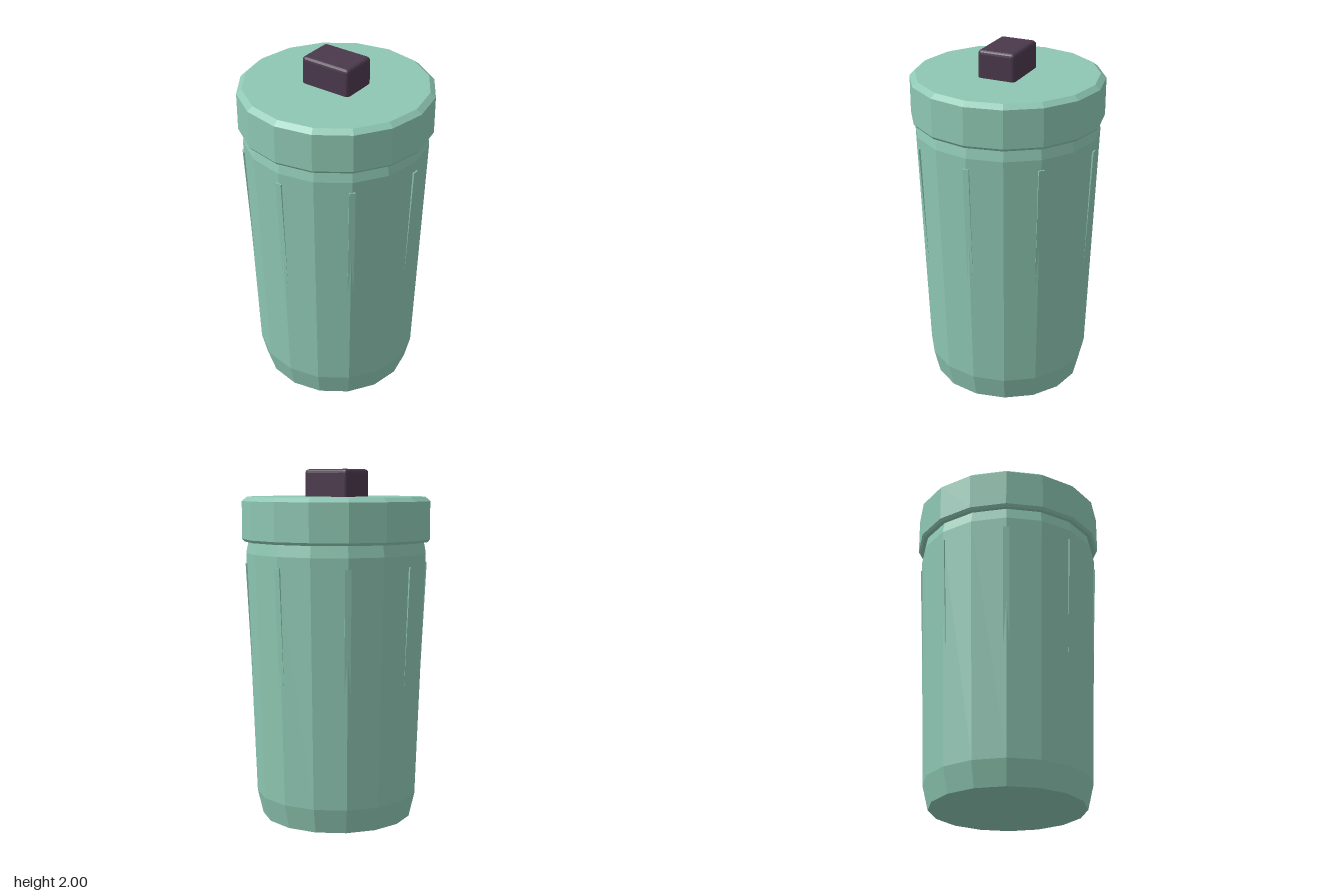
import * as THREE from 'three';
import { RoundedBoxGeometry } from 'three/addons/geometries/RoundedBoxGeometry.js';

const SIDES = 16;

export function createModel() {
  const green = new THREE.MeshStandardMaterial({ color: 0x8ec7b3, flatShading: true });
  green.name = 'sage green';
  const plum = new THREE.MeshStandardMaterial({ color: 0x4a384c, flatShading: true });
  plum.name = 'dark plum';

  const model = new THREE.Group();
  model.name = 'trashCan';

  const add = (name, geometry, material, parent = model) => {
    const mesh = new THREE.Mesh(geometry, material);
    mesh.name = name;
    parent.add(mesh);
    return mesh;
  };
  // Faceted solid of revolution from [radius, height] pairs, bottom to top
  const turned = (profile) =>
    new THREE.LatheGeometry(profile.map(([r, y]) => new THREE.Vector2(r, y)), SIDES);

  // Tapered body with a bevelled foot and shoulder
  add('body', turned([[0, 0], [0.435, 0], [0.468, 0.14], [0.518, 1.53], [0.503, 1.605], [0, 1.605]]), green);

  // Overhanging lid with bevelled rims
  add('lid', turned([[0, 1.595], [0.528, 1.595], [0.54, 1.61], [0.54, 1.822], [0.51, 1.846], [0, 1.846]]), green);

  // Eight slim ribs that sink into the body towards the foot
  const ribs = new THREE.Group();
  ribs.name = 'ribs';
  model.add(ribs);
  const side = new THREE.Shape([
    new THREE.Vector2(0.48, 1.47), new THREE.Vector2(0.44, 0.2),
    new THREE.Vector2(0.459, 0.2), new THREE.Vector2(0.522, 1.47),
  ]);
  const width = 0.034;
  const ribGeometry = new THREE.ExtrudeGeometry(side, { depth: width, bevelEnabled: false });
  ribGeometry.translate(0, 0, -width / 2);
  for (let i = 0; i < 8; i++) {
    add('rib', ribGeometry, green, ribs).rotation.y = (i * Math.PI) / 4;
  }

  // Block handle on the lid
  const handle = add('handle', new RoundedBoxGeometry(0.304, 0.2, 0.218, 2, 0.022), plum);
  handle.position.y = 1.9;

  return model;
}
